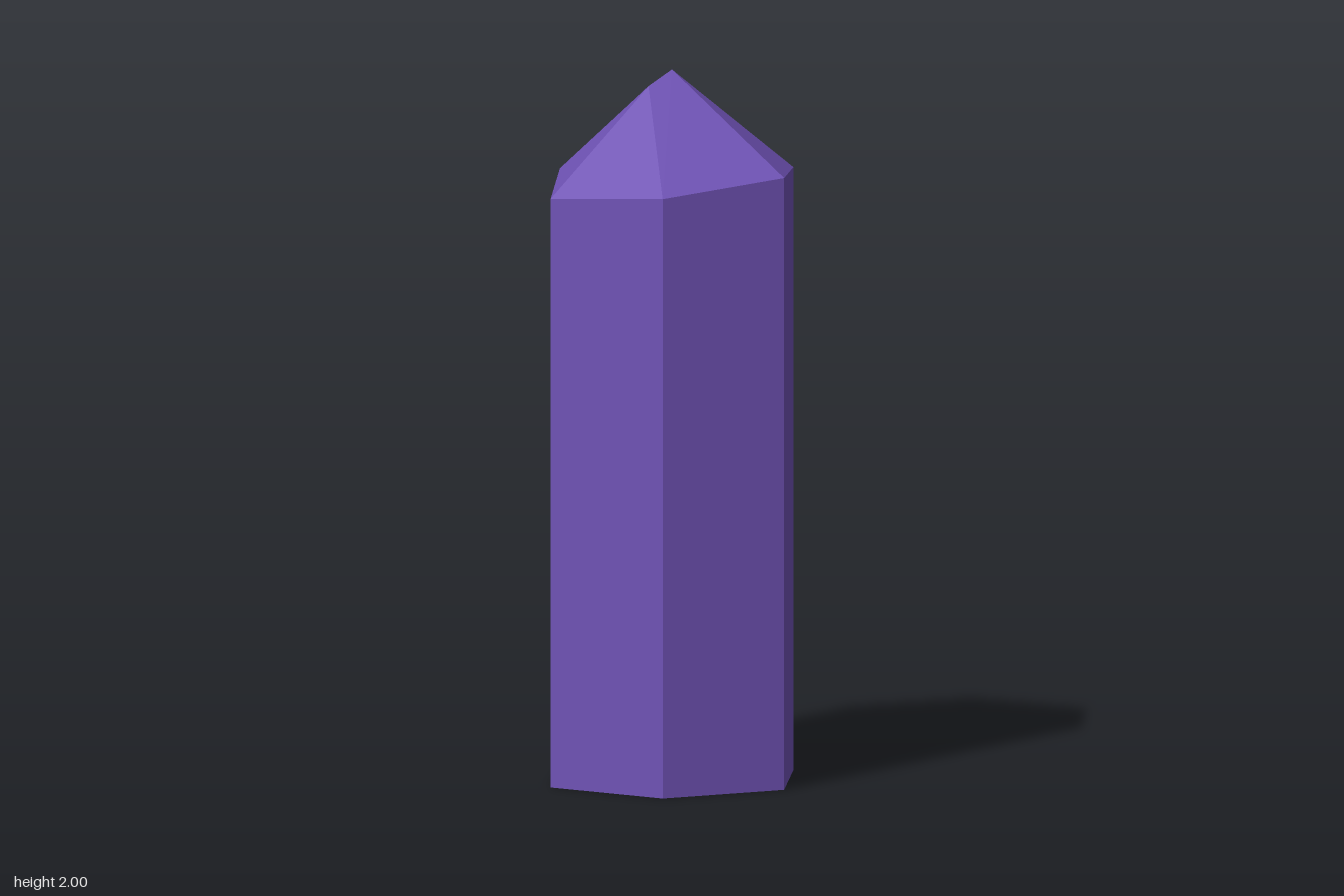
import * as THREE from 'three';
import { ConvexGeometry } from 'three/addons/geometries/ConvexGeometry.js';

export function createModel() {
  const group = new THREE.Group();
  group.name = 'crystal';

  // Hexagonal shaft: each corner column ends at its own shoulder height,
  // going round from +x through +z
  const radius = 0.377;
  const shoulders = [1.7, 1.725, 1.69, 1.66, 1.69, 1.69];
  const points = [];
  shoulders.forEach((height, i) => {
    const angle = (i * Math.PI) / 3;
    const x = radius * Math.cos(angle);
    const z = radius * Math.sin(angle);
    points.push(new THREE.Vector3(x, 0, z), new THREE.Vector3(x, height, z));
  });

  // Pointed tip with a smaller secondary point beside it
  points.push(new THREE.Vector3(0, 2, 0), new THREE.Vector3(-0.087, 1.963, 0.03));

  const material = new THREE.MeshStandardMaterial({ color: 0x6f52b5, flatShading: true });
  const shaft = new THREE.Mesh(new ConvexGeometry(points), material);
  shaft.name = 'crystalShaft';
  group.add(shaft);
  return group;
}
